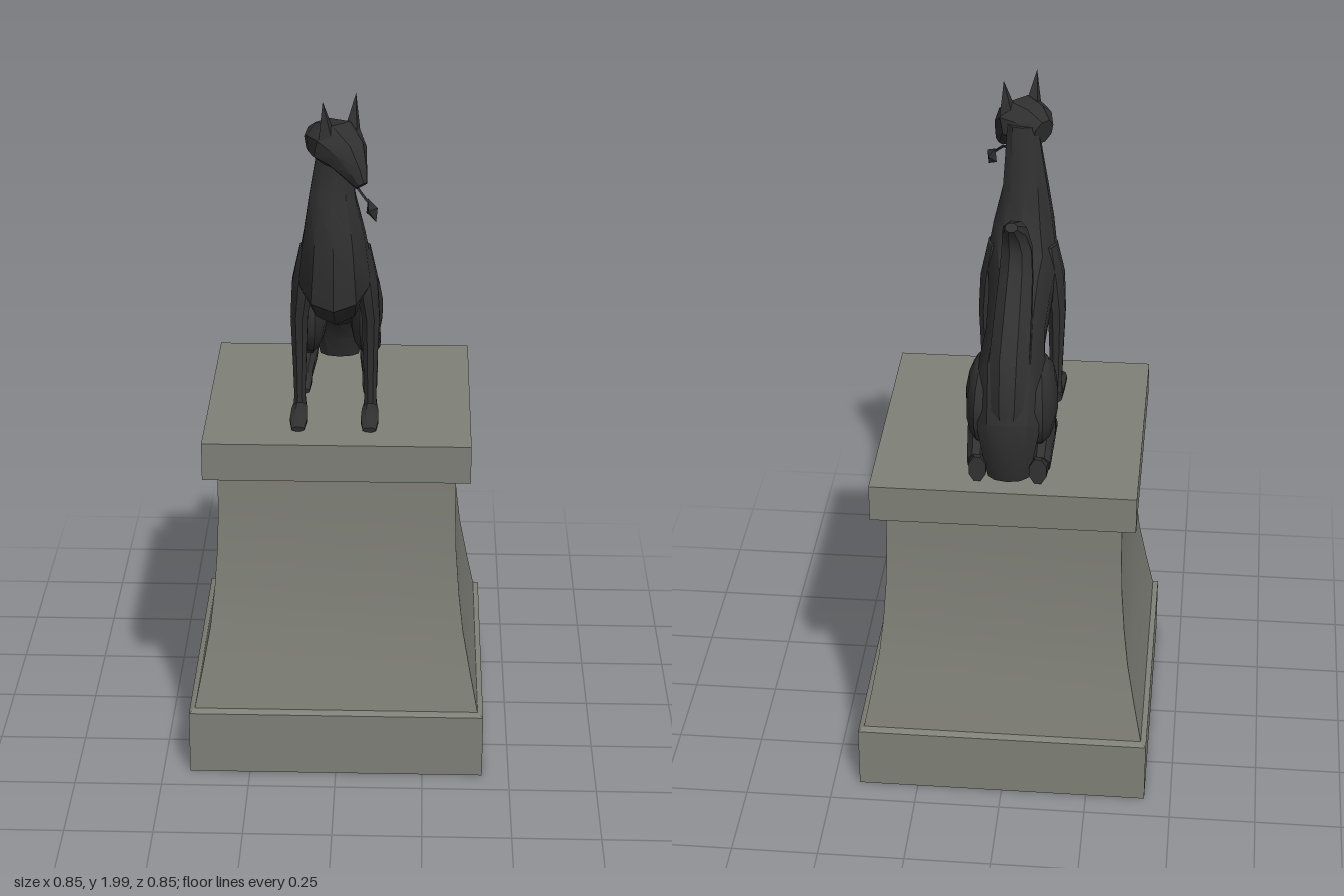
import * as THREE from 'three';
import { toCreasedNormals } from 'three/addons/utils/BufferGeometryUtils.js';

const stone = new THREE.MeshStandardMaterial({ color: 0x7f8077 });
stone.name = 'stone';
const bronze = new THREE.MeshStandardMaterial({ color: 0x303031 });
bronze.name = 'darkBronze';

function part(name, geometry, material, crease = 0.6) {
  const mesh = new THREE.Mesh(toCreasedNormals(geometry, crease), material);
  mesh.name = name;
  return mesh;
}

// Closed skin over elliptical rings; each ring is [x, y, z, sideRadius, heightRadius]
function loft(rings, sides = 8) {
  const centres = rings.map(r => new THREE.Vector3(r[0], r[1], r[2]));
  const pos = [], index = [], last = rings.length - 1;
  rings.forEach((r, i) => {
    const t = centres[Math.min(i + 1, last)].clone().sub(centres[Math.max(i - 1, 0)]);
    t.x = 0;
    t.normalize();
    const n = new THREE.Vector3().crossVectors(t, new THREE.Vector3(1, 0, 0));
    for (let j = 0; j < sides; j++) {
      const a = (j + 0.5) / sides * Math.PI * 2;
      const p = centres[i].clone().addScaledVector(n, Math.sin(a) * r[4]);
      pos.push(p.x + Math.cos(a) * r[3], p.y, p.z);
    }
  });
  centres[0].toArray(pos, pos.length);
  centres[last].toArray(pos, pos.length);
  const start = rings.length * sides, end = start + 1;
  for (let j = 0; j < sides; j++) {
    const k = (j + 1) % sides;
    for (let i = 0; i < last; i++) {
      const a = i * sides + j, b = i * sides + k;
      index.push(a, b, a + sides, b, b + sides, a + sides);
    }
    index.push(start, k, j, end, last * sides + j, last * sides + k);
  }
  const g = new THREE.BufferGeometry();
  g.setAttribute('position', new THREE.Float32BufferAttribute(pos, 3));
  g.setIndex(index);
  return g;
}

// Square profile turned into a four-sided block
function squareLathe(profile) {
  const pts = profile.map(([half, y]) => new THREE.Vector2(half * Math.SQRT2, y));
  return new THREE.LatheGeometry(pts, 4).rotateY(Math.PI / 4);
}

function createPedestal() {
  const g = new THREE.Group();
  g.name = 'pedestal';
  g.add(part('plinth', squareLathe([[0, 0], [0.423, 0], [0.423, 0.19], [0.408, 0.2], [0, 0.2]]), stone));
  g.add(part('flaredColumn', squareLathe([[0.408, 0.195], [0.385, 0.31], [0.361, 0.44],
    [0.348, 0.55], [0.338, 0.68], [0.334, 0.8], [0.334, 0.92]]), stone));
  g.add(part('cap', squareLathe([[0, 0.91], [0.374, 0.91], [0.374, 1.02], [0, 1.02]]), stone));
  return g;
}

function createHead() {
  const head = new THREE.Group();
  head.name = 'head';
  head.position.z = 0.27;
  head.rotation.y = Math.PI / 4;
  head.add(part('skullAndSnout', loft([
    [0, 1.85, -0.09, 0.035, 0.04], [0, 1.86, -0.05, 0.066, 0.056],
    [0, 1.86, 0, 0.085, 0.064], [0, 1.835, 0.04, 0.062, 0.056],
    [0, 1.79, 0.075, 0.032, 0.036], [0, 1.763, 0.095, 0.016, 0.02]]), bronze));
  for (const s of [-1, 1]) {
    const ear = new THREE.ConeGeometry(0.032, 0.11, 4);
    ear.scale(1, 1, 0.6).rotateZ(-s * 0.14).translate(s * 0.053, 1.934, 0.01);
    head.add(part(s > 0 ? 'leftEar' : 'rightEar', ear, bronze));
  }
  return head;
}

// Small leaf-shaped object hanging from the mouth
function createMouthPiece() {
  const g = new THREE.Group();
  g.name = 'heldLeaf';
  const curve = new THREE.CatmullRomCurve3([
    new THREE.Vector3(0.045, 1.76, 0.29), new THREE.Vector3(0.062, 1.745, 0.325),
    new THREE.Vector3(0.085, 1.72, 0.345)]);
  g.add(part('stem', new THREE.TubeGeometry(curve, 4, 0.004, 4), bronze));
  const leaf = new THREE.OctahedronGeometry(0.033).scale(0.75, 1, 0.4);
  leaf.rotateZ(0.5).rotateY(-Math.PI / 4).translate(0.096, 1.7, 0.354);
  g.add(part('leaf', leaf, bronze));
  return g;
}

function createLegs(s) {
  const legs = new THREE.Group();
  legs.name = s > 0 ? 'leftLegs' : 'rightLegs';
  const x = s * 0.1;
  legs.add(part('frontLeg', loft([
    [s * 0.075, 1.53, 0.16, 0.025, 0.04], [s * 0.088, 1.43, 0.16, 0.034, 0.062],
    [x, 1.32, 0.15, 0.027, 0.036], [x, 1.17, 0.148, 0.021, 0.022],
    [x, 1.08, 0.147, 0.018, 0.017], [x, 1.03, 0.145, 0.021, 0.019]]), bronze));
  legs.add(part('frontPaw', loft([
    [x, 1.037, 0.125, 0.02, 0.017], [x, 1.04, 0.18, 0.025, 0.02],
    [x, 1.037, 0.24, 0.027, 0.017], [x, 1.028, 0.283, 0.02, 0.008]]), bronze));
  const haunch = new THREE.SphereGeometry(1, 10, 7).scale(0.05, 0.13, 0.135);
  legs.add(part('haunch', haunch.translate(s * 0.08, 1.215, -0.18), bronze));
  legs.add(part('hindShank', loft([
    [s * 0.09, 1.19, -0.11, 0.032, 0.05], [s * 0.092, 1.11, -0.19, 0.034, 0.05],
    [s * 0.09, 1.065, -0.29, 0.028, 0.04]]), bronze));
  legs.add(part('hindPaw', loft([
    [s * 0.085, 1.065, -0.325, 0.026, 0.04], [s * 0.09, 1.055, -0.2, 0.028, 0.035],
    [s * 0.095, 1.045, -0.08, 0.023, 0.025], [s * 0.095, 1.042, -0.03, 0.024, 0.021],
    [s * 0.095, 1.03, 0.015, 0.018, 0.009]]), bronze));
  return legs;
}

function createBody() {
  const g = new THREE.Group();
  g.name = 'seatedBody';
  g.position.x = -0.01;
  // Neck, chest, belly and rump in one sweep
  g.add(part('torso', loft([
    [0.005, 1.87, 0.215, 0.045, 0.042], [0, 1.78, 0.205, 0.055, 0.046],
    [-0.005, 1.69, 0.2, 0.066, 0.062], [0, 1.58, 0.203, 0.088, 0.094],
    [0, 1.46, 0.175, 0.106, 0.138], [0, 1.39, 0.07, 0.092, 0.122],
    [0, 1.35, -0.07, 0.086, 0.1], [0, 1.29, -0.2, 0.1, 0.135],
    [0, 1.19, -0.275, 0.095, 0.09], [0, 1.1, -0.29, 0.075, 0.06],
    [0, 1.03, -0.29, 0.06, 0.04]], 10), bronze));
  g.add(part('tail', loft([
    [0, 1.17, -0.31, 0.035, 0.035], [0, 1.25, -0.3, 0.055, 0.055],
    [0, 1.36, -0.245, 0.06, 0.072], [0, 1.45, -0.13, 0.055, 0.066],
    [0, 1.53, -0.045, 0.05, 0.052], [0, 1.605, -0.024, 0.045, 0.044],
    [0.005, 1.665, -0.042, 0.036, 0.035], [0.01, 1.7, -0.09, 0.018, 0.014]]), bronze));
  g.add(createLegs(1), createLegs(-1));
  return g;
}

export function createModel() {
  const model = new THREE.Group();
  model.name = 'foxStatue';
  const fox = new THREE.Group();
  fox.name = 'fox';
  fox.add(createBody(), createHead(), createMouthPiece());
  model.add(createPedestal(), fox);
  return model;
}
